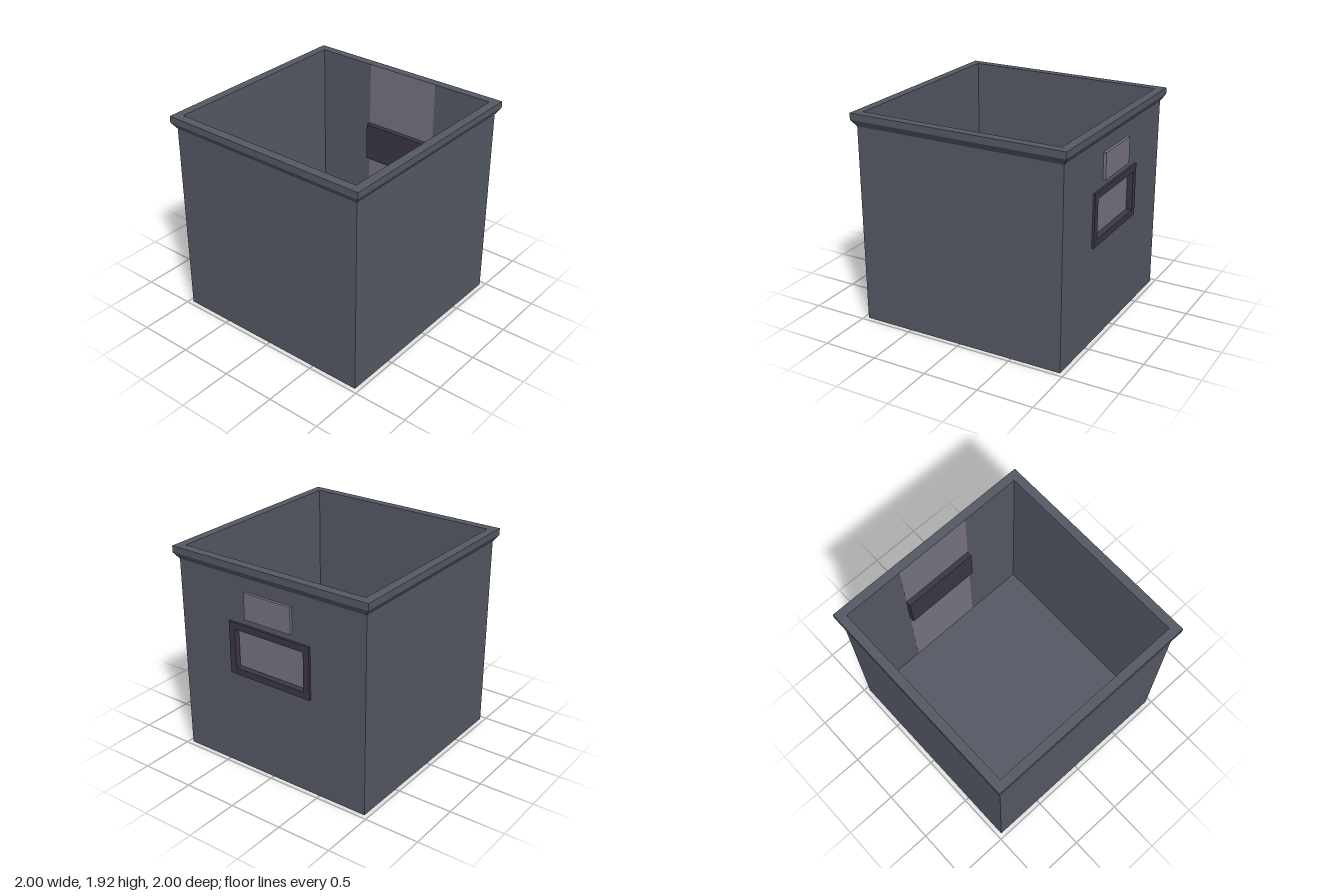
import * as THREE from 'three';

const paint = (color) => new THREE.MeshStandardMaterial({ color, flatShading: true });
const bodyMat = paint(0x555964);
const frameMat = paint(0x3b3744);
const panelMat = paint(0x777381);

export function createModel() {
  const model = new THREE.Group();
  const add = (name, geometry, material, x = 0, y = 0, z = 0) => {
    const mesh = new THREE.Mesh(geometry, material);
    mesh.name = name;
    mesh.position.set(x, y, z);
    model.add(mesh);
    return mesh;
  };

  // Square rings: a lathe with one segment per side, profile given as [half width, height]
  const squareLathe = (profile, sides) => {
    const points = profile.map(([half, y]) => new THREE.Vector2(half * Math.SQRT2, y));
    const geometry = new THREE.LatheGeometry(points, sides, Math.PI * 0.75, sides * Math.PI / 2).toNonIndexed();
    geometry.computeVertexNormals();
    return geometry;
  };

  // Rectangle with a rectangular opening, facing +z
  const openRect = (w, y0, y1, holeW, h0, h1) => {
    const outline = (Path, half, a, b) => new Path([
      new THREE.Vector2(-half, a), new THREE.Vector2(half, a),
      new THREE.Vector2(half, b), new THREE.Vector2(-half, b),
    ]);
    const shape = outline(THREE.Shape, w, y0, y1);
    shape.holes.push(outline(THREE.Path, holeW, h0, h1));
    return shape;
  };

  // Flared rim, solid on all four sides
  add('rim', squareLathe([[0.96, 1.8], [1, 1.86], [1, 1.92], [0.92, 1.92], [0.92, 1.8]], 4), bodyMat);

  // Three plain walls, outside and inside
  add('outerWalls', squareLathe([[0.96, 0], [0.96, 1.8]], 3), bodyMat);
  add('innerWalls', squareLathe([[0.92, 1.8], [0.92, 0.04]], 3), bodyMat);
  add('floor', new THREE.BoxGeometry(1.92, 0.04, 1.92), bodyMat, 0, 0.02, 0);

  // Slot wall: outer skin with an opening
  const slotSkin = new THREE.ShapeGeometry(openRect(0.96, 0, 1.8, 0.38, 0.94, 1.34));
  add('slotWallOuter', slotSkin.rotateY(Math.PI / 2), bodyMat, 0.96);

  // Slot wall: inner skin, plain at the sides with a lighter centre strip
  const innerPlane = (name, w, y0, y1, z, material, x = 0.92) =>
    add(name, new THREE.PlaneGeometry(w, y1 - y0).rotateY(-Math.PI / 2), material, x, (y0 + y1) / 2, z);
  for (const side of [-1, 1]) innerPlane('slotWallInner', 0.56, 0.04, 1.8, side * 0.64, bodyMat);
  innerPlane('innerStripUpper', 0.72, 1.32, 1.92, 0, panelMat, 0.919);
  innerPlane('innerStripLower', 0.72, 0.04, 0.96, 0, panelMat, 0.919);

  // Slot: raised frame and recessed flap that stands out inside the bin
  const frame = new THREE.ExtrudeGeometry(openRect(0.42, 0.9, 1.38, 0.36, 0.96, 1.32),
    { depth: 0.055, bevelEnabled: false });
  add('slotFrame', frame.rotateY(Math.PI / 2), frameMat, 0.925);
  add('slotFlap', new THREE.BoxGeometry(0.055, 0.36, 0.72),
    [panelMat, frameMat, frameMat, frameMat, frameMat, frameMat], 0.8975, 1.14, 0);

  // Blank plate above the slot
  add('signPlate', new THREE.BoxGeometry(0.035, 0.24, 0.48), panelMat, 0.9675, 1.56, 0);

  return model;
}
